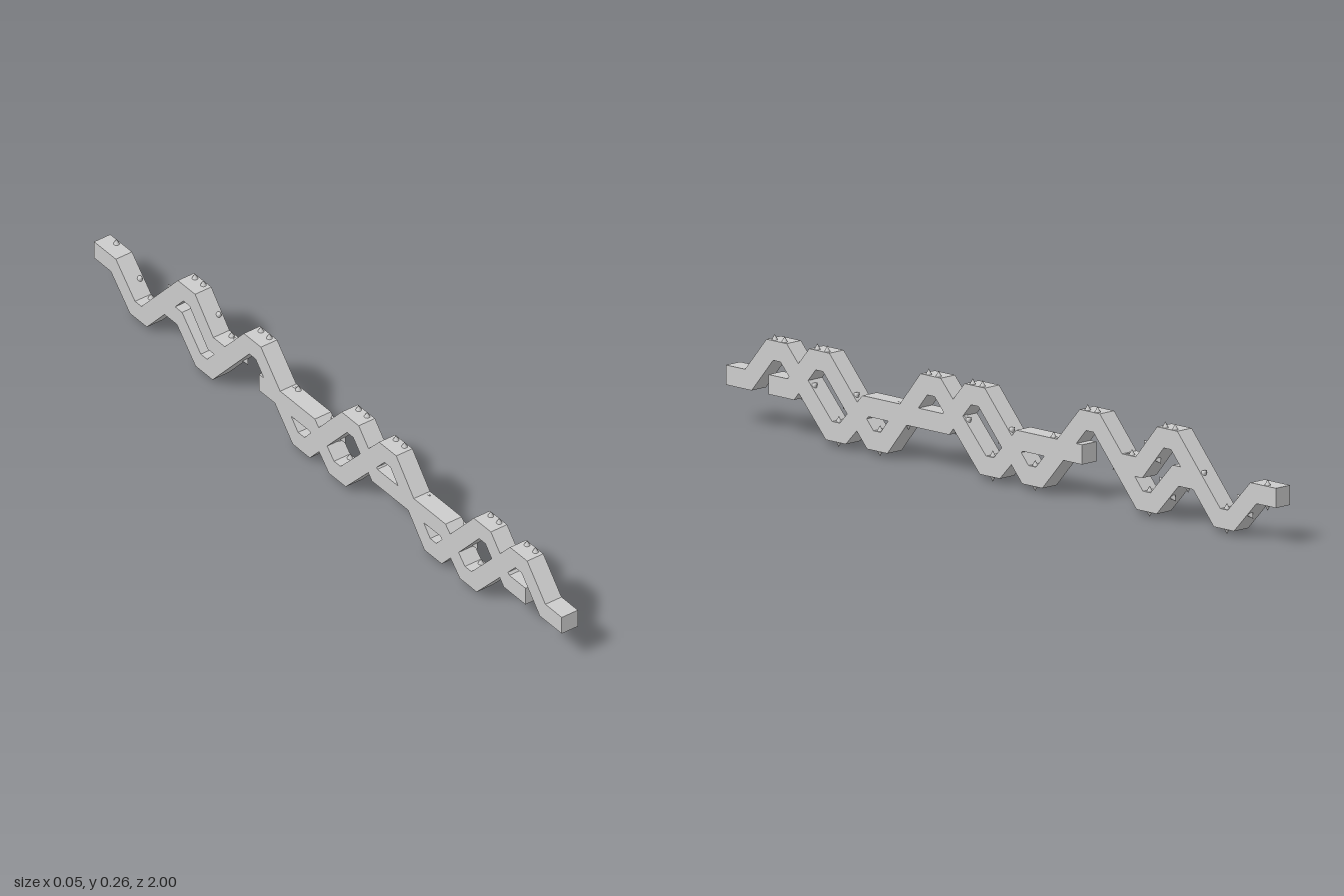
import * as THREE from 'three';

const WIDTH = 0.052, HALF = 0.026;
const LOW = 0.043, MID = 0.129, HIGH = 0.221;
const FLAT = 0.025; // half length of each crest and trough

// Crest or trough as two path points, running from +z to -z
const level = (z, y) => [[z + FLAT, y], [z - FLAT, y]];
const crest = z => level(z, HIGH);
const trough = z => level(z, LOW);

// Each strand is a centre line of [z, y] points
const strands = {
  longStrand: [
    [1, MID], [0.918, MID], ...crest(0.815), ...trough(0.6), [0.492, MID],
    [0.2, MID], ...crest(0.095), ...trough(-0.114), ...crest(-0.323),
    ...trough(-0.53), [-0.635, MID], [-0.705, MID],
  ],
  shortStrand: [
    [0.845, MID], [0.764, MID], ...crest(0.66), ...trough(0.45),
    ...crest(0.255), ...trough(0.04), [-0.067, MID], [-0.295, MID],
  ],
  endStrand: [
    [-0.43, MID], [-0.502, MID], ...crest(-0.605), ...trough(-0.811),
    [-0.918, MID], [-1, MID],
  ],
};

// Unit direction and upward normal of the segment from a to b
function segment(a, b) {
  const dir = new THREE.Vector2(b[0] - a[0], b[1] - a[1]);
  const length = dir.length();
  dir.normalize();
  return { length, normal: new THREE.Vector2(dir.y, -dir.x) };
}

// Edge line of a strand with mitred corners
function offsetPath(path, distance) {
  return path.map((p, i) => {
    const before = segment(path[Math.max(i - 1, 0)], path[Math.max(i, 1)]).normal;
    const last = path.length - 1;
    const after = segment(path[Math.min(i, last - 1)], path[Math.min(i + 1, last)]).normal;
    const miter = before.clone().add(after).normalize();
    return new THREE.Vector2(p[0], p[1]).addScaledVector(miter, distance / miter.dot(after));
  });
}

function strandGeometry(path) {
  const outline = [...offsetPath(path, HALF), ...offsetPath(path, -HALF).reverse()];
  const geometry = new THREE.ExtrudeGeometry(new THREE.Shape(outline), {
    depth: WIDTH, bevelEnabled: false,
  });
  return geometry.rotateY(-Math.PI / 2).translate(WIDTH / 2, 0, 0);
}

export function createModel() {
  const group = new THREE.Group();
  const material = new THREE.MeshStandardMaterial({ color: 0xcccccc });
  const studGeometry = new THREE.ConeGeometry(0.008, 0.015, 12).translate(0, 0.0075, 0);
  const up = new THREE.Vector3(0, 1, 0);

  for (const [name, path] of Object.entries(strands)) {
    const strand = new THREE.Group();
    strand.name = name;
    const bar = new THREE.Mesh(strandGeometry(path), material);
    bar.name = 'zigzagBar';
    strand.add(bar);

    // Small cone standing on the upper (side 1) or lower (side -1) face
    const addStud = (z, y, normal, side) => {
      const stud = new THREE.Mesh(studGeometry, material);
      stud.name = 'stud';
      const n = new THREE.Vector3(0, normal.y, normal.x).multiplyScalar(side);
      stud.position.set(0.015, y, z).addScaledVector(n, HALF);
      stud.quaternion.setFromUnitVectors(up, n);
      strand.add(stud);
    };

    for (let i = 0; i < path.length - 1; i++) {
      const [a, b] = [path[i], path[i + 1]];
      const { normal } = segment(a, b);
      const z = (a[0] + b[0]) / 2, y = (a[1] + b[1]) / 2;
      const isLevel = a[1] === b[1];
      if (isLevel && y === HIGH) {
        // Crests carry a pair on top
        for (const dz of [-0.018, 0.018]) addStud(z + dz, y, normal, 1);
      } else if (isLevel && y === LOW) {
        addStud(z, y, normal, 1);
        addStud(z, y, normal, -1);
      } else if (z < 0.8) {
        for (const side of [1, -1]) addStud(z, y, normal, side);
      }
    }
    group.add(strand);
  }
  return group;
}
